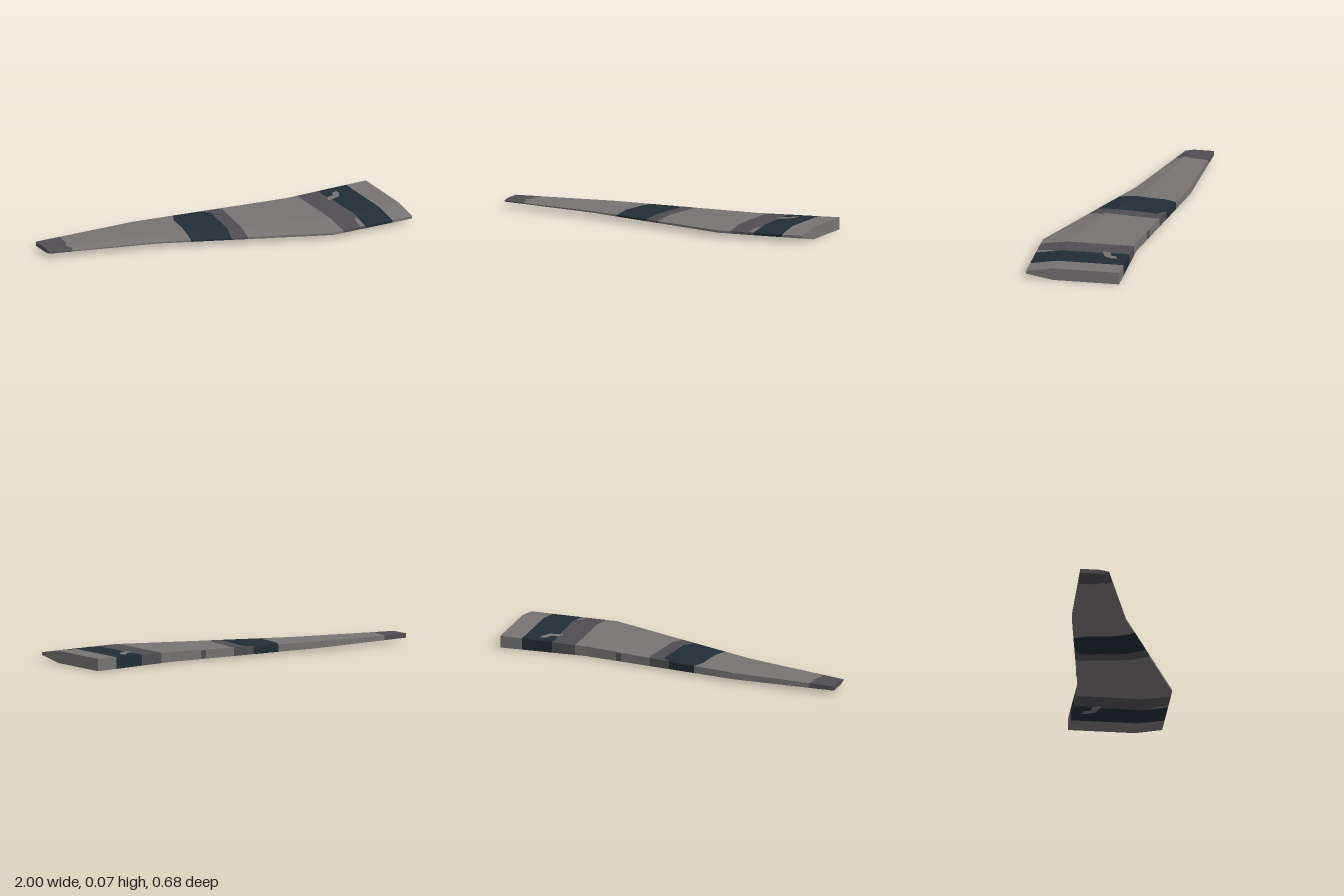
import * as THREE from 'three';

// Planform stations: x, back edge z, front edge z, thickness
const STATIONS = [
  [-1, -0.34, -0.18, 0.024],
  [-0.4, -0.32, -0.02, 0.037],
  [0.5, -0.187, 0.336, 0.056],
  [1, -0.187, 0.336, 0.068],
];
const MID_Y = 0.034, CREASE = 0.71, EDGE = 0.22;
// Chord fractions, back to front, at which every cut is sampled
const CHORD = [0, 0.1, 0.2, 0.35, 0.5, CREASE, 0.85, 1];

function station(x) {
  let i = 0;
  while (i < 2 && x > STATIONS[i + 1][0]) i++;
  const a = STATIONS[i], b = STATIONS[i + 1], t = (x - a[0]) / (b[0] - a[0]);
  const [, back, front, thick] = a.map((v, k) => THREE.MathUtils.lerp(v, b[k], t));
  return { back, front, thick };
}

// Half thickness: flat behind the crease, tapering to the thin front edge
function halfThickness(thick, u) {
  return thick / 2 * (u <= CREASE ? 1 : THREE.MathUtils.mapLinear(u, CREASE, 1, 1, EDGE));
}

function surfacePoint(x, u, side) {
  const s = station(x);
  return [x, MID_Y + side * halfThickness(s.thick, u), THREE.MathUtils.lerp(s.back, s.front, u)];
}

// Closed section ring: over the top from back to front, then underneath
function ring(cut) {
  const top = CHORD.map((u, i) => surfacePoint(cut[i], u, 1));
  const bottom = CHORD.map((u, i) => surfacePoint(cut[i], u, -1)).reverse();
  return [...top, ...bottom];
}

function facetGeometry(triangles) {
  const g = new THREE.BufferGeometry();
  g.setAttribute('position', new THREE.Float32BufferAttribute(triangles.flat(2), 3));
  g.computeVertexNormals();
  return g;
}

// Skin between two section rings, with optional end caps
function bandGeometry(cutA, cutB, capA, capB) {
  const A = ring(cutA), B = ring(cutB), n = A.length, tris = [];
  for (let i = 0; i < n; i++) {
    const j = (i + 1) % n;
    tris.push([A[i], A[j], B[j]], [A[i], B[j], B[i]]);
  }
  for (let i = 1; i < n - 1; i++) {
    if (capA) tris.push([A[0], A[i + 1], A[i]]);
    if (capB) tris.push([B[0], B[i], B[i + 1]]);
  }
  return facetGeometry(tris);
}

// Thin painted patch given as x, z outline, laid on the top or underside
function patchGeometry(outline, side) {
  const g = new THREE.ShapeGeometry(new THREE.Shape(outline.map(([x, z]) => new THREE.Vector2(x, z))));
  const p = g.attributes.position;
  for (let i = 0; i < p.count; i++) {
    const x = p.getX(i), z = p.getY(i), s = station(x);
    const u = (z - s.back) / (s.front - s.back);
    p.setXYZ(i, x, MID_Y + side * (halfThickness(s.thick, u) + 0.001), z);
  }
  // Outline order faces down after mapping, so flip it for the top
  if (side > 0) g.index.array.reverse();
  const flat = g.toNonIndexed();
  flat.computeVertexNormals();
  // Make sure the patch faces outwards
  if (flat.attributes.normal.getY(0) * side < 0) {
    g.index.array.reverse();
    const turned = g.toNonIndexed();
    turned.computeVertexNormals();
    return turned;
  }
  return flat;
}

export function createModel() {
  const model = new THREE.Group();
  model.name = 'blade';
  const material = (name, color) => {
    const m = new THREE.MeshStandardMaterial({ color });
    m.name = name;
    return m;
  };
  const grey = material('grey', 0x787474);
  const darkGrey = material('darkGrey', 0x504e52);
  const navy = material('navy', 0x222d35);

  const add = (name, geometry, mat) => {
    const mesh = new THREE.Mesh(geometry, mat);
    mesh.name = name;
    model.add(mesh);
    return mesh;
  };

  // Colour borders: x at each chord fraction
  const straight = (x) => CHORD.map(() => x);
  const cuts = [
    straight(-1),
    [-0.855, -0.855, -0.86, -0.86, -0.865, -0.885, -0.865, -0.875],
    straight(-0.4),
    [-0.165, -0.18, -0.195, -0.2, -0.205, -0.22, -0.225, -0.235],
    [-0.01, 0.035, 0.03, 0.02, 0.015, 0.005, -0.01, -0.025],
    [0.11, 0.115, 0.105, 0.1, 0.09, 0.08, 0.07, 0.06],
    straight(0.5),
    straight(0.565),
    [0.7, 0.695, 0.7, 0.705, 0.705, 0.71, 0.71, 0.705],
    straight(0.875),
    straight(1),
  ];
  const bands = [
    ['tip', darkGrey], ['outerPanel', grey], ['middleOuterPanel', grey],
    ['middleStripe', navy], ['middleStripeBorder', darkGrey], ['innerPanel', grey],
    ['rootPanel', grey], ['rootStripeBorder', darkGrey], ['rootStripe', navy], ['rootEnd', grey],
  ];
  bands.forEach(([name, mat], i) =>
    add(name, bandGeometry(cuts[i], cuts[i + 1], i === 0, i === bands.length - 1), mat));

  // Worn paint patches by the root stripe
  const streak = [[0.68, -0.05], [0.7, -0.085], [0.74, -0.09], [0.75, -0.125], [0.785, -0.135],
    [0.785, -0.105], [0.76, -0.06], [0.73, -0.05], [0.69, -0.035]];
  const sliver = [[0.675, 0.333], [0.68, 0.27], [0.695, 0.235], [0.705, 0.25], [0.702, 0.333]];
  for (const side of [1, -1]) {
    const where = side > 0 ? 'Top' : 'Underside';
    add('wornStreak' + where, patchGeometry(streak, side), grey);
    add('wornSliver' + where, patchGeometry(sliver, side), grey);
  }

  // Small dark mark on the back edge
  const mark = add('backEdgeMark', new THREE.BoxGeometry(0.03, 0.045, 0.004), darkGrey);
  mark.position.set(0.3, MID_Y, station(0.3).back);
  mark.rotation.y = -Math.atan2(0.133, 0.9);

  return model;
}
